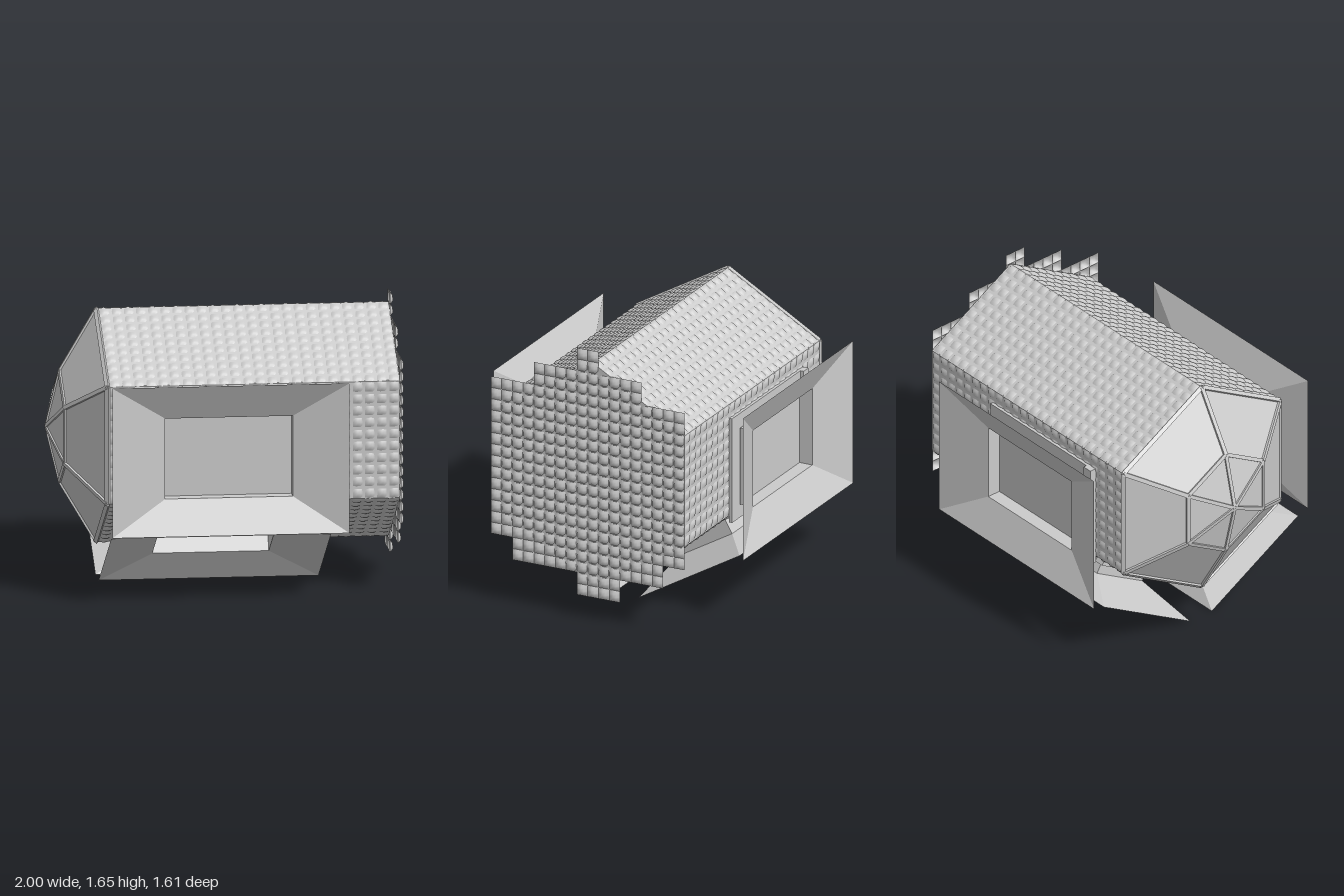
import * as THREE from 'three';
import { mergeGeometries } from 'three/addons/utils/BufferGeometryUtils.js';

const CY = 0.9;          // height of the hull axis
const PITCH = 0.0695;    // tile spacing
const mat = new THREE.MeshStandardMaterial({ color: 0xcccccc, flatShading: true, side: THREE.DoubleSide });
const smooth = new THREE.MeshStandardMaterial({ color: 0xcccccc, side: THREE.DoubleSide });

function add(parent, name, geometry, material = mat) {
  const mesh = new THREE.Mesh(geometry, material);
  mesh.name = name;
  parent.add(mesh);
  return mesh;
}

function box(parent, name, w, h, d, x, y, z) {
  const mesh = add(parent, name, new THREE.BoxGeometry(w, h, d));
  mesh.position.set(x, y, z);
  return mesh;
}

// Pillow-shaped tile in the XY plane, thicker towards its lower edge
function tileGeometry(w, h, thick) {
  const g = new THREE.PlaneGeometry(w, h, 4, 4);
  const p = g.attributes.position;
  for (let i = 0; i < p.count; i++) {
    const u = p.getX(i) / (w / 2), v = p.getY(i) / (h / 2);
    p.setZ(i, thick * (1 - Math.abs(u) ** 3) * (1 - v ** 4) * (0.8 - 0.2 * v));
  }
  g.computeVertexNormals();
  return g;
}

// Merge one tile copied to a list of [x, y] centres
function tileField(tile, centres) {
  return mergeGeometries(centres.map(([x, y]) => tile.clone().translate(x, y, 0)));
}

// Rectangular sections [halfWidth, halfHeight, z] joined by flat walls, closed at the last one
function rectLoft(sections) {
  const pos = [];
  const corners = sections.map(([w, h, z]) => [[-w, -h, z], [w, -h, z], [w, h, z], [-w, h, z]]);
  const quad = (a, b, c, d) => pos.push(...a, ...b, ...c, ...a, ...c, ...d);
  for (let s = 0; s < corners.length - 1; s++) {
    for (let k = 0; k < 4; k++) {
      const n = (k + 1) % 4;
      quad(corners[s][k], corners[s][n], corners[s + 1][n], corners[s + 1][k]);
    }
  }
  quad(...corners[corners.length - 1]);
  const g = new THREE.BufferGeometry();
  g.setAttribute('position', new THREE.Float32BufferAttribute(pos, 3));
  g.computeVertexNormals();
  return g;
}

// Hexagon corner k of radius r at station x, first corner on top
function hexPoint(x, r, k) {
  const a = k * Math.PI / 3;
  return new THREE.Vector3(x, r * Math.cos(a), r * Math.sin(a));
}

// Flat window bar between two points
function bar(parent, name, a, b, width) {
  const mesh = add(parent, name, new THREE.BoxGeometry(width, width * 0.7, a.distanceTo(b)));
  mesh.position.copy(a).add(b).multiplyScalar(0.5);
  const zAxis = b.clone().sub(a).normalize();
  const outward = mesh.position.clone().setX(mesh.position.x + 0.2).normalize();
  const xAxis = outward.cross(zAxis).normalize();
  const yAxis = zAxis.clone().cross(xAxis);
  mesh.quaternion.setFromRotationMatrix(new THREE.Matrix4().makeBasis(xAxis, yAxis, zAxis));
}

export function createModel() {
  const model = new THREE.Group();
  model.name = 'hexagonalModule';
  const body = new THREE.Group();
  body.name = 'body';
  body.position.y = CY;
  model.add(body);

  // Six-sided hull
  const hexShape = new THREE.Shape();
  for (let k = 0; k < 6; k++) {
    const p = hexPoint(0, 0.683, k);
    hexShape[k ? 'lineTo' : 'moveTo'](-p.z, p.y);
  }
  const hull = new THREE.ExtrudeGeometry(hexShape, { depth: 1.68, bevelEnabled: false });
  hull.rotateY(Math.PI / 2).translate(-0.7, 0, 0);
  add(body, 'hull', hull);

  // Tiled hull sides
  const cols = 24, rows = 10, tw = 1.675 / cols, th = 0.069;
  const sideCentres = [];
  for (let c = 0; c < cols; c++) {
    for (let r = 0; r < rows; r++) sideCentres.push([-0.695 + (c + 0.5) * tw, (r - 4.5) * th]);
  }
  const sideTiles = tileField(tileGeometry(tw, th, 0.017), sideCentres);
  const sides = [];
  for (let k = 0; k < 6; k++) {
    const side = new THREE.Group();
    side.name = 'hullSide' + (k + 1);
    side.rotation.x = k * Math.PI / 3;
    body.add(side);
    add(side, 'sideTiles', sideTiles, smooth).position.z = 0.586;
    sides.push(side);
  }

  // Stepped tile wall on the closed end: [columns from, to, rows from, to], counted from front and bottom
  const steps = [[8, 12, 0, 2], [2, 16, 2, 4], [0, 18, 4, 18], [4, 14, 18, 20], [8, 10, 20, 22]];
  const endCentres = [];
  for (const [c0, c1, r0, r1] of steps) {
    for (let c = c0; c < c1; c++) {
      for (let r = r0; r < r1; r++) {
        endCentres.push([-0.66 + (c + 0.5) * PITCH, 0.138 - CY + (r + 0.5) * 0.069]);
      }
    }
  }
  const endWall = add(body, 'endWallTiles', tileField(tileGeometry(PITCH, 0.069, 0.024), endCentres), smooth);
  endWall.rotation.y = Math.PI / 2;
  endWall.position.x = 0.977;

  // Flared trays on four sides: [side, centre x, centre offset, sections]
  const large = [[0.6825, 0.4375, 0.805], [0.3675, 0.235, 0.705], [0.3675, 0.235, 0.622]];
  const small = [[0.633, 0.375, 0.812], [0.335, 0.197, 0.715], [0.335, 0.197, 0.622]];
  const trays = [[0, -0.0175, -0.06, large], [3, -0.0175, 0.06, large], [1, -0.066, 0, small], [2, -0.066, 0, small]];
  for (const [k, x, y, sections] of trays) {
    const tray = new THREE.Group();
    tray.name = 'flaredTray';
    tray.position.set(x, y, 0);
    sides[k].add(tray);
    add(tray, 'trayWalls', rectLoft(sections));
    const [hw, hh] = sections[1];
    box(tray, 'trayBase', 2 * hw + 0.17, 2 * hh + 0.17, 0.02, 0, 0, 0.605);
    for (const s of [-1, 1]) box(tray, 'trayBracket', 0.06, 0.08, 0.025, -hw - 0.055, s * (hh + 0.045), 0.624);
  }

  // Faceted window dome: panes, then bars along every edge
  const dome = new THREE.Group();
  dome.name = 'windowDome';
  body.add(dome);
  const baseX = -0.705, ringX = -0.915, baseR = 0.68, ringR = 0.325;
  const tip = new THREE.Vector3(-0.994, 0, 0);
  const panes = [];
  for (let k = 0; k < 6; k++) {
    const b0 = hexPoint(baseX, baseR, k), b1 = hexPoint(baseX, baseR, k + 1);
    const r0 = hexPoint(ringX, ringR, k), r1 = hexPoint(ringX, ringR, k + 1);
    for (const p of [b0, r0, b1, b1, r0, r1, r0, tip, r1]) panes.push(p.x, p.y, p.z);
    bar(dome, 'baseBar', b0, b1, 0.025);
    bar(dome, 'ringBar', r0, r1, 0.022);
    bar(dome, 'sideBar', b0, r0, 0.025);
    bar(dome, 'noseBar', r0, tip, 0.022);
  }
  const paneGeometry = new THREE.BufferGeometry();
  paneGeometry.setAttribute('position', new THREE.Float32BufferAttribute(panes, 3));
  paneGeometry.computeVertexNormals();
  add(dome, 'windowPanes', paneGeometry);

  return model;
}
